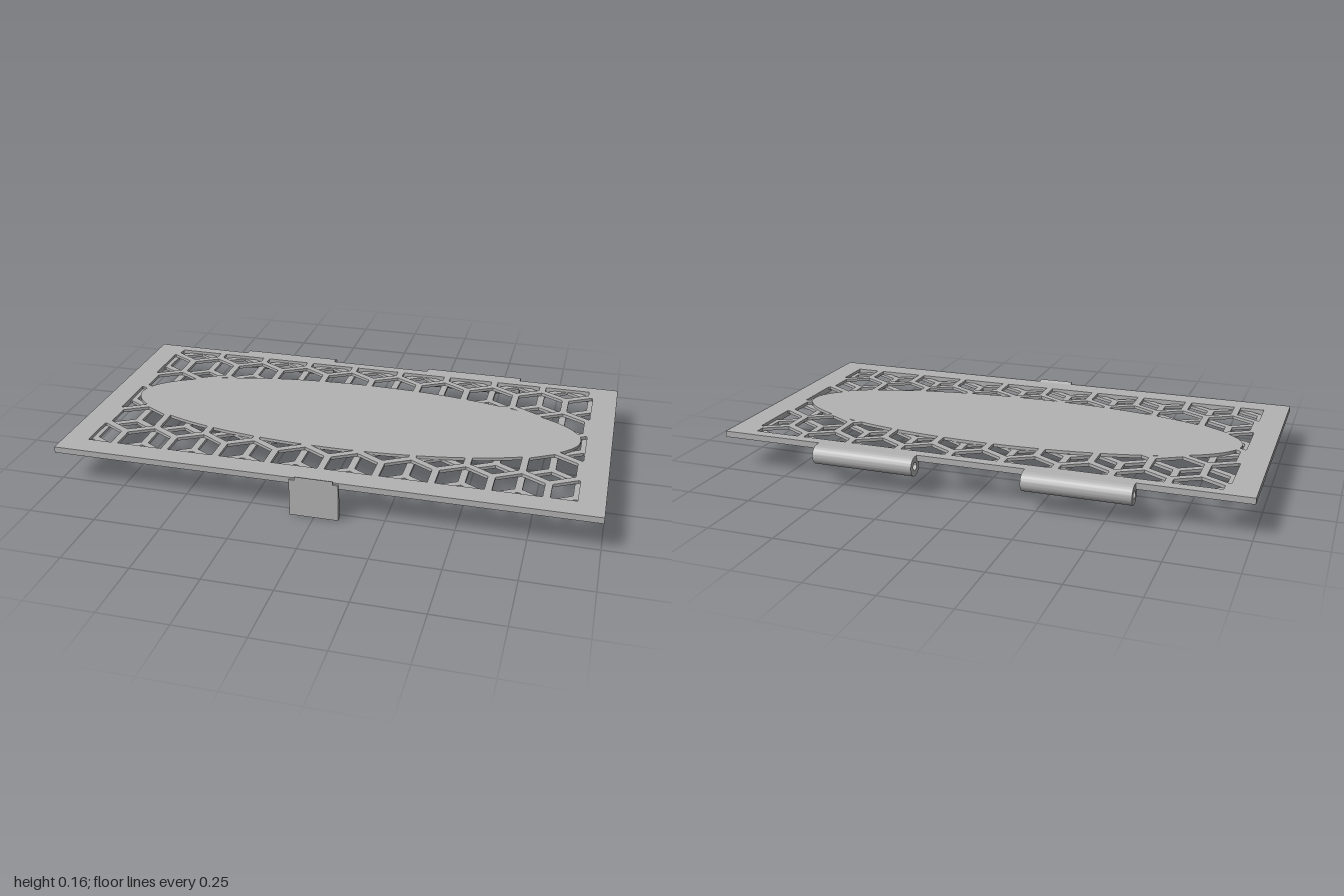
import * as THREE from 'three';
import { toCreasedNormals } from 'three/addons/utils/BufferGeometryUtils.js';

const V = (x, y) => new THREE.Vector2(x, y);
const BOTTOM = 0.125, MID = 0.1365, TOP = 0.148;
const PITCH = 0.2, R = PITCH / Math.sqrt(3), STRUT = 0.026;
const GRID_X = 0.905, GRID_Z = 0.447;

// Keep the part of a convex polygon where axis * sign <= limit
function clip(points, axis, sign, limit) {
  const out = [];
  points.forEach((a, i) => {
    const b = points[(i + 1) % points.length];
    const da = limit - a[axis] * sign, db = limit - b[axis] * sign;
    if (da >= 0) out.push(a);
    if (da * db < 0) out.push(a.clone().lerp(b, da / (da - db)));
  });
  return out;
}

// Pointed hexagon cells of a honeycomb, trimmed to the grille window
function honeycombHoles(shift) {
  const holes = [];
  const r = R - STRUT / Math.sqrt(3);
  for (let row = -5; row <= 5; row++) {
    for (let col = -6; col <= 6; col++) {
      const cx = (col + (row & 1 ? 0.5 : 0)) * PITCH, cy = row * 1.5 * R + shift;
      let cell = [];
      for (let i = 0; i < 6; i++) {
        const a = Math.PI / 6 + i * Math.PI / 3;
        cell.push(V(cx + r * Math.cos(a), cy + r * Math.sin(a)));
      }
      for (const s of [1, -1]) {
        cell = clip(cell, 'x', s, GRID_X);
        cell = clip(cell, 'y', s, GRID_Z);
      }
      if (cell.length > 2 && Math.abs(THREE.ShapeUtils.area(cell)) > 0.0002) holes.push(new THREE.Path(cell));
    }
  }
  return holes;
}

// Flat layer drawn in x and -z, lifted between two heights
function layer(shape, y0, y1) {
  return new THREE.ExtrudeGeometry(shape, { depth: y1 - y0, bevelEnabled: false, curveSegments: 64 })
    .rotateX(-Math.PI / 2).translate(0, y0, 0);
}

// Side profile drawn in -z and y, swept along x
function sweep(shape, x0, x1) {
  const g = new THREE.ExtrudeGeometry(shape, { depth: x1 - x0, bevelEnabled: false, curveSegments: 24 })
    .rotateY(Math.PI / 2).translate(x0, 0, 0);
  return toCreasedNormals(g, 0.6);
}

const profile = (pts) => new THREE.Shape(pts.map(([z, y]) => V(-z, y)));

export function createModel() {
  const model = new THREE.Group();
  const grey = new THREE.MeshStandardMaterial({ color: 0xb2b2b2 });
  grey.name = 'plainGrey';
  const add = (name, geometry) => {
    const mesh = new THREE.Mesh(geometry, grey);
    mesh.name = name;
    model.add(mesh);
  };

  // Two stacked honeycomb layers, one offset so its joints sit over the other's cells
  const panel = (shift) => {
    const s = new THREE.Shape([V(-1, -0.535), V(1, -0.535), V(1, 0.488), V(-1, 0.488)]);
    s.holes = honeycombHoles(shift);
    return s;
  };
  add('lowerHoneycombPanel', layer(panel(0), BOTTOM, MID));
  add('upperHoneycombPanel', layer(panel(R), MID, TOP));

  // Solid oval in the upper layer
  const oval = new THREE.Shape();
  oval.absellipse(0, 0, 0.885, 0.285, 0, Math.PI * 2);
  add('ovalPlate', layer(oval, MID, TOP));

  // Hinge barrels with a pin hole, joined to the back edge
  const barrel = new THREE.Shape();
  barrel.absarc(0.506, 0.1115, 0.0365, 0, Math.PI * 2);
  const pin = new THREE.Path();
  pin.absarc(0.506, 0.1115, 0.015, 0, Math.PI * 2, true);
  barrel.holes.push(pin);
  const web = profile([[-0.465, 0.117], [-0.465, TOP], [-0.506, TOP], [-0.49, 0.132], [-0.475, 0.117]]);
  for (const [side, x] of [['right', -0.6], ['left', 0.205]]) {
    add(side + 'HingeBarrel', sweep(barrel, x, x + 0.395));
    add(side + 'HingeWeb', sweep(web, x, x + 0.395));
  }

  // Front latch: hanging tab, inner hook and top lip
  add('latchTab', sweep(profile([[0.525, 0], [0.542, 0], [0.542, 0.142], [0.525, 0.142]]), -0.09, 0.09));
  add('latchHook', sweep(profile([[0.526, 0.04], [0.526, 0.06], [0.513, 0.06]]), -0.09, 0.09));
  add('latchLip', sweep(profile([[0.542, 0.138], [0.542, 0.156], [0.526, 0.147], [0.526, 0.138]]), -0.07, 0.07));

  return model;
}
